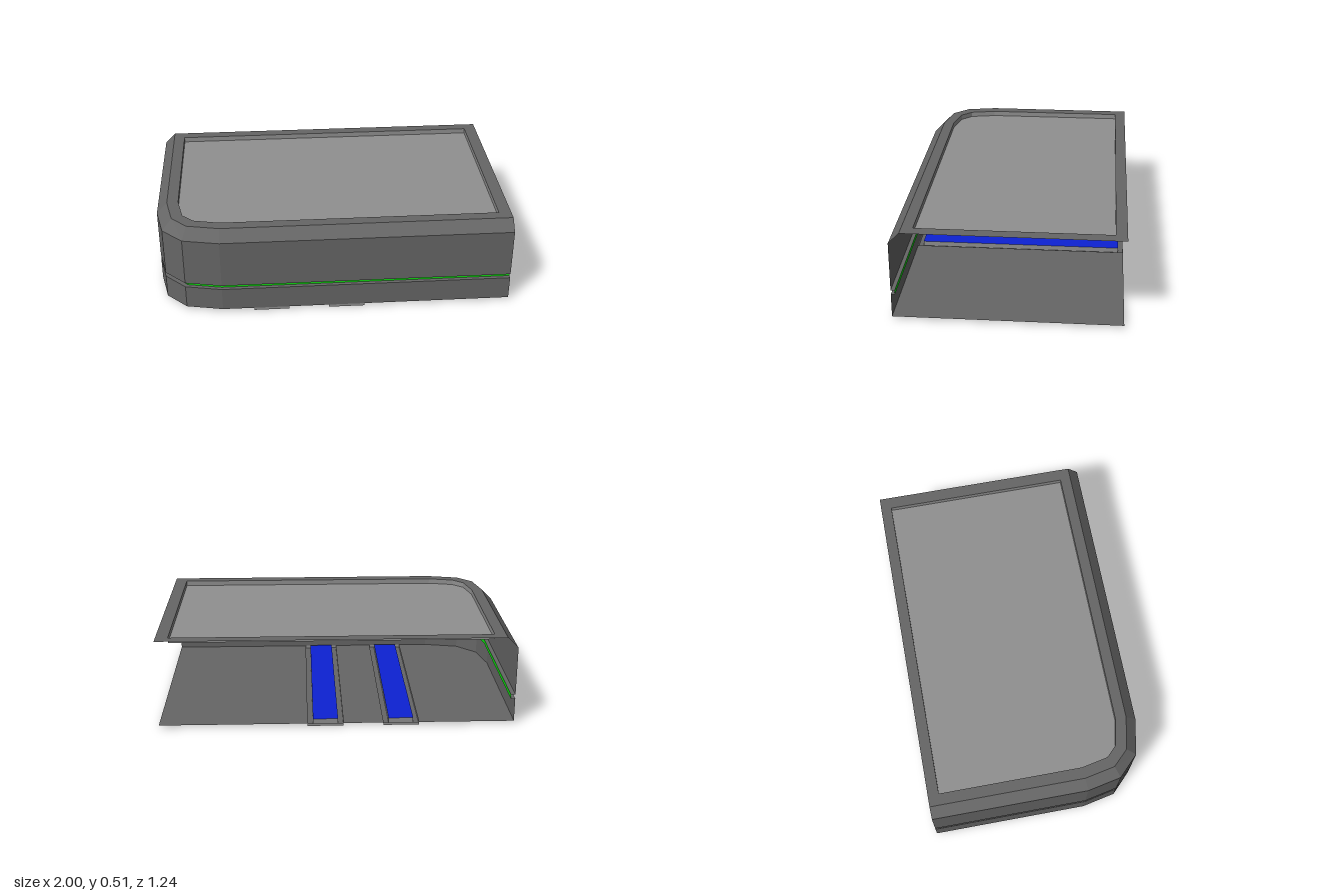
import * as THREE from 'three';

const B = -0.622; // back edge
const F = 0.622;  // front edge
const FLOOR = 0.015, TOP = 0.515, PANEL = 0.485;

function material(name, color) {
  const m = new THREE.MeshStandardMaterial({ color, side: THREE.DoubleSide, flatShading: true });
  m.name = name;
  return m;
}

// Quads joining two matching rows of [x, z] points at heights ya and yb
function band(a, ya, b, yb) {
  const pos = [];
  for (let i = 0; i < a.length - 1; i++) {
    const p = [a[i][0], ya, a[i][1]], q = [a[i + 1][0], ya, a[i + 1][1]];
    const r = [b[i + 1][0], yb, b[i + 1][1]], s = [b[i][0], yb, b[i][1]];
    pos.push(...p, ...r, ...q, ...p, ...s, ...r);
  }
  const g = new THREE.BufferGeometry();
  g.setAttribute('position', new THREE.Float32BufferAttribute(pos, 3));
  g.computeVertexNormals();
  return g;
}

// Flat horizontal sheet from [x, z] points, with an optional hole
function sheet(points, y, hole) {
  const v = (list) => list.map(([x, z]) => new THREE.Vector2(x, -z));
  const shape = new THREE.Shape(v(points));
  if (hole) shape.holes.push(new THREE.Path(v(hole)));
  return new THREE.ShapeGeometry(shape).rotateX(-Math.PI / 2).translate(0, y, 0);
}

const rect = (x0, x1, z0, z1) => [[x0, z1], [x0, z0], [x1, z0], [x1, z1]];
const closed = (pts) => [...pts, pts[0]];

export function createModel() {
  const dark = material('dark grey', 0x666666);
  const light = material('light grey', 0x909090);
  const green = material('green', 0x0edb0e);
  const blue = material('blue', 0x0d22d4);

  const model = new THREE.Group();
  model.name = 'cornerBase';
  const add = (name, geometry, mat, parent = model) => {
    const mesh = new THREE.Mesh(geometry, mat);
    mesh.name = name;
    parent.add(mesh);
  };

  // Wall lines along the front, round the faceted corner and down the side
  const outer = [[1, F], [-0.64, F], [-0.845, 0.58], [-0.96, 0.465], [-1, 0.27], [-1, B]];
  const groove = [[1, 0.6], [-0.64, 0.6], [-0.832, 0.56], [-0.938, 0.453], [-0.975, 0.268], [-0.975, B]];
  const rim = [[1, 0.562], [-0.637, 0.562], [-0.82, 0.523], [-0.905, 0.435], [-0.94, 0.26], [-0.94, B]];
  const inset = [[0.93, 0.5], [-0.635, 0.5], [-0.785, 0.467], [-0.845, 0.407], [-0.876, 0.255],
    [-0.876, -0.56], [0.93, -0.56]];

  // Walls with a recessed light line and a bevelled upper edge
  add('lowerWall', band(outer, FLOOR, outer, 0.15), dark);
  add('grooveLowerLedge', band(outer, 0.15, groove, 0.15), dark);
  add('lightStrip', band(groove, 0.15, groove, 0.175), green);
  add('grooveUpperLedge', band(groove, 0.175, outer, 0.175), dark);
  add('upperWall', band(outer, 0.175, outer, 0.455), dark);
  add('bevel', band(outer, 0.455, rim, TOP), dark);

  // Top rim and sunken panel
  add('topRim', sheet([...rim, [1, B]], TOP, inset), dark);
  add('panelEdge', band(closed(inset), TOP, closed(inset), PANEL), light);
  add('topPanel', sheet(inset, PANEL), light);

  // Floor pieces either side of the two runners
  const runners = [[-0.462, -0.262], [-0.036, 0.166]];
  add('floorCorner', sheet([[runners[0][0], F], ...outer.slice(1), [runners[0][0], B]], FLOOR), dark);
  add('floorMiddle', sheet(rect(runners[0][1], runners[1][0], B, F), FLOOR), dark);
  add('floorEnd', sheet(rect(runners[1][1], 1, B, F), FLOOR), dark);

  // Shallow runners below the floor, each with a pocket holding a blue plate
  for (const [x0, x1] of runners) {
    const runner = new THREE.Group();
    runner.name = 'runner';
    model.add(runner);
    const edge = rect(x0, x1, B, F);
    const pocket = rect(x0 + 0.03, x1 - 0.03, B + 0.03, F - 0.03);
    add('runnerSide', band(closed(edge), 0, closed(edge), FLOOR), light, runner);
    add('runnerRim', sheet(edge, 0, pocket), dark, runner);
    add('pocketSide', band(closed(pocket), 0, closed(pocket), 0.029), light, runner);
    add('bluePlate', sheet(pocket, 0.029), blue, runner);
  }
  return model;
}
